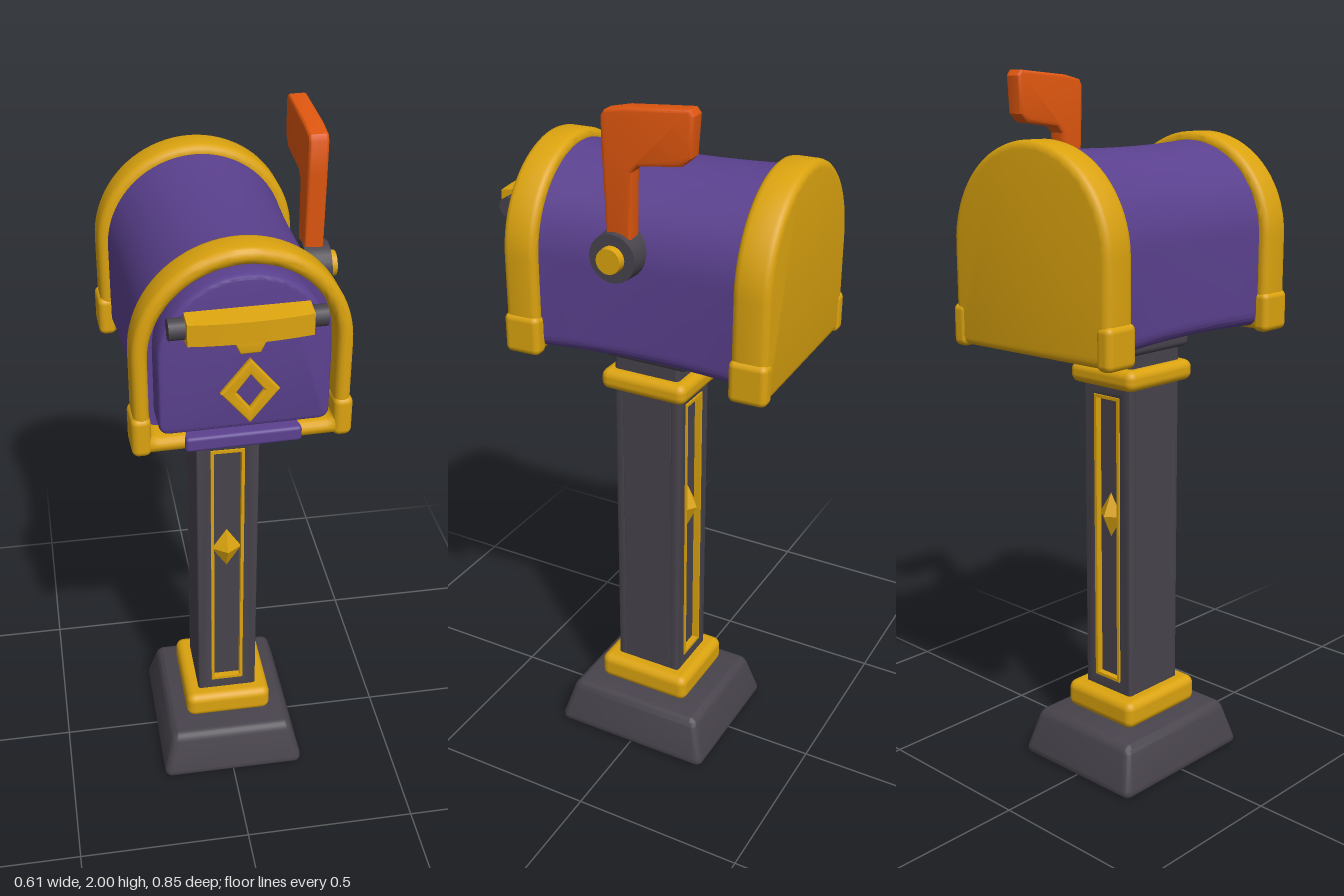
import * as THREE from 'three';
import { toCreasedNormals } from 'three/addons/utils/BufferGeometryUtils.js';
import { RoundedBoxGeometry } from 'three/addons/geometries/RoundedBoxGeometry.js';

const material = (name, color) => {
  const m = new THREE.MeshStandardMaterial({ color });
  m.name = name;
  return m;
};

// Mailbox outline: rounded bottom corners, straight sides, round top
function archPath(Type, halfW, bottom, top, r) {
  const p = new Type();
  const spring = top - halfW;
  p.moveTo(-halfW + r, bottom);
  p.lineTo(halfW - r, bottom);
  p.quadraticCurveTo(halfW, bottom, halfW, bottom + r);
  p.lineTo(halfW, spring);
  p.absarc(0, spring, halfW, 0, Math.PI, false);
  p.lineTo(-halfW, bottom + r);
  p.quadraticCurveTo(-halfW, bottom, -halfW + r, bottom);
  return p;
}

const polygon = (Type, points) => new Type(points.map(([x, y]) => new THREE.Vector2(x, y)));
const rectangle = (Type, w, y0, y1) => polygon(Type, [[-w, y0], [w, y0], [w, y1], [-w, y1]]);
const diamond = (Type, w, h) => polygon(Type, [[0, -h], [w, 0], [0, h], [-w, 0]]);

// Extrusion from z0 to z1 with its bevel inside that range and inside the outline
function extrude(shape, z0, z1, bevel = 0, steps = 1) {
  const geo = new THREE.ExtrudeGeometry(shape, {
    depth: z1 - z0 - 2 * bevel, steps, curveSegments: 20, bevelEnabled: bevel > 0,
    bevelSize: bevel, bevelThickness: bevel, bevelOffset: -bevel, bevelSegments: 3,
  });
  geo.translate(0, 0, z0 + bevel);
  return toCreasedNormals(geo, 0.7);
}

// Move every vertex by a rule, then rebuild the normals
function reshape(geo, rule) {
  const pos = geo.attributes.position;
  const v = new THREE.Vector3();
  for (let i = 0; i < pos.count; i++) {
    rule(v.fromBufferAttribute(pos, i));
    pos.setXYZ(i, v.x, v.y, v.z);
  }
  return toCreasedNormals(geo, 0.7);
}

export function createModel() {
  const purple = material('purple paint', 0x5b418f);
  const gold = material('gold trim', 0xdba30f);
  const dark = material('dark iron', 0x48434c);
  const orange = material('orange flag', 0xde560f);

  const model = new THREE.Group();
  model.name = 'mailbox';
  const add = (parent, name, geo, mat, x = 0, y = 0, z = 0) => {
    const mesh = new THREE.Mesh(geo, mat);
    mesh.name = name;
    mesh.position.set(x, y, z);
    parent.add(mesh);
    return mesh;
  };
  const block = (parent, name, mat, w, y0, y1, d, r, x = 0, z = 0) =>
    add(parent, name, new RoundedBoxGeometry(w, y1 - y0, d, 3, r), mat, x, (y0 + y1) / 2, z);

  // Post: tapered foot, collars, shaft and neck
  const post = new THREE.Group();
  post.name = 'post';
  model.add(post);
  const foot = reshape(new RoundedBoxGeometry(0.44, 0.145, 0.5, 4, 0.025), (v) => {
    const k = 1 - 0.17 * (v.y / 0.145 + 0.5);
    v.x *= k;
    v.z *= k;
  });
  add(post, 'foot', foot, dark, 0, 0.0725, 0);
  block(post, 'lowerCollar', gold, 0.26, 0.15, 0.232, 0.29, 0.025);
  block(post, 'shaft', dark, 0.178, 0.14, 1.2, 0.17, 0.012);
  block(post, 'upperCollar', gold, 0.242, 1.15, 1.21, 0.262, 0.024);
  block(post, 'neck', dark, 0.185, 1.19, 1.27, 0.2, 0.012);
  block(post, 'saddle', dark, 0.21, 1.245, 1.33, 0.262, 0.018);

  // Recessed panel with a gold edge and gem on the front and back of the shaft
  for (const side of [0, 1]) {
    const panel = new THREE.Group();
    panel.name = side ? 'backPanel' : 'frontPanel';
    panel.rotation.y = side * Math.PI;
    post.add(panel);
    const face = rectangle(THREE.Shape, 0.089, 0.2, 1.17);
    face.holes.push(rectangle(THREE.Path, 0.046, 0.27, 1.12));
    add(panel, 'panelSurround', extrude(face, 0.07, 0.102, 0.008), dark);
    const edge = rectangle(THREE.Shape, 0.048, 0.265, 1.122);
    edge.holes.push(rectangle(THREE.Path, 0.039, 0.274, 1.113));
    add(panel, 'panelEdge', extrude(edge, 0.08, 0.104), gold);
    const gem = add(panel, 'panelGem', new THREE.OctahedronGeometry(1), gold, 0, 0.77, 0.085);
    gem.scale.set(0.043, 0.066, 0.03);
  }

  // Box, turned a little on its post
  const box = new THREE.Group();
  box.name = 'box';
  box.position.set(-0.012, 0, -0.04);
  box.rotation.y = 0.037;
  model.add(box);

  // Body with a slight waist
  const body = reshape(
    extrude(archPath(THREE.Shape, 0.25, 1.3, 1.81, 0.045), -0.3, 0.3, 0, 10),
    (v) => {
      const k = 0.96 + 0.04 * (v.z / 0.3) ** 2;
      v.x *= k;
      v.y = 1.55 + (v.y - 1.55) * k;
    });
  add(box, 'body', body, purple);

  // Gold front hoop and solid back cap, with small feet at the corners
  const hoop = archPath(THREE.Shape, 0.276, 1.293, 1.832, 0.04);
  hoop.holes.push(archPath(THREE.Path, 0.236, 1.333, 1.79, 0.03));
  add(box, 'frontHoop', extrude(hoop, 0.277, 0.372, 0.018), gold);
  add(box, 'backCap', extrude(archPath(THREE.Shape, 0.276, 1.285, 1.832, 0.045), -0.376, -0.277, 0.02), gold);
  for (const s of [-1, 1]) {
    block(box, 'frontCornerFoot', gold, 0.05, 1.288, 1.4, 0.104, 0.018, s * 0.258, 0.325);
    block(box, 'backCornerFoot', gold, 0.05, 1.28, 1.395, 0.106, 0.018, s * 0.26, -0.327);
  }

  // Door, hinge and diamond ornament
  add(box, 'door', extrude(archPath(THREE.Shape, 0.216, 1.355, 1.775, 0.03), 0.29, 0.386, 0.012), purple);
  block(box, 'hinge', purple, 0.3, 1.292, 1.334, 0.06, 0.01, 0, 0.352);
  const ornament = diamond(THREE.Shape, 0.074, 0.09);
  ornament.holes.push(diamond(THREE.Path, 0.036, 0.048));
  add(box, 'doorDiamond', extrude(ornament, 0.38, 0.4, 0.005), gold, 0.01, 1.465, 0);

  // Handle: dark rod with a gold grip bowed outward
  const rod = new THREE.CylinderGeometry(0.027, 0.027, 0.385, 16).rotateZ(Math.PI / 2);
  add(box, 'handleRod', rod, dark, 0, 1.66, 0.4);
  const grip = new THREE.BoxGeometry(0.305, 0.075, 0.06, 8, 1, 1);
  reshape(grip, (v) => {
    if (v.z > 0) v.z -= 0.5 * v.x * v.x;
    if (v.z > 0) v.y *= 0.75;
  });
  add(box, 'handleGrip', toCreasedNormals(grip, 0.6), gold, 0, 1.662, 0.426);
  add(box, 'handleLatch', extrude(polygon(THREE.Shape,
    [[-0.025, 1.597], [0.025, 1.597], [0.04, 1.63], [-0.04, 1.63]]), 0.38, 0.44, 0.004), gold);

  // Signal flag on its pivot; the outline is drawn with x running backward
  const flag = new THREE.Group();
  flag.name = 'flag';
  flag.position.z = 0.04;
  box.add(flag);
  const banner = extrude(polygon(THREE.Shape, [
    [-0.022, 1.62], [0.042, 1.62], [0.046, 1.83], [0.065, 1.848], [0.18, 1.862], [0.205, 1.885],
    [0.212, 1.985], [0.2, 2.0], [0.03, 1.987], [-0.025, 1.975], [-0.035, 1.96], [-0.033, 1.87],
  ]), 0.222, 0.274, 0.008);
  add(flag, 'flagArm', banner.rotateY(Math.PI / 2), orange);
  const disc = (r, length) => new THREE.CylinderGeometry(r * 0.93, r, length, 24).rotateZ(-Math.PI / 2);
  add(flag, 'flagPivot', disc(0.069, 0.07), dark, 0.255, 1.61, 0);
  add(flag, 'flagPivotCap', disc(0.036, 0.03), gold, 0.297, 1.61, 0);

  return model;
}
